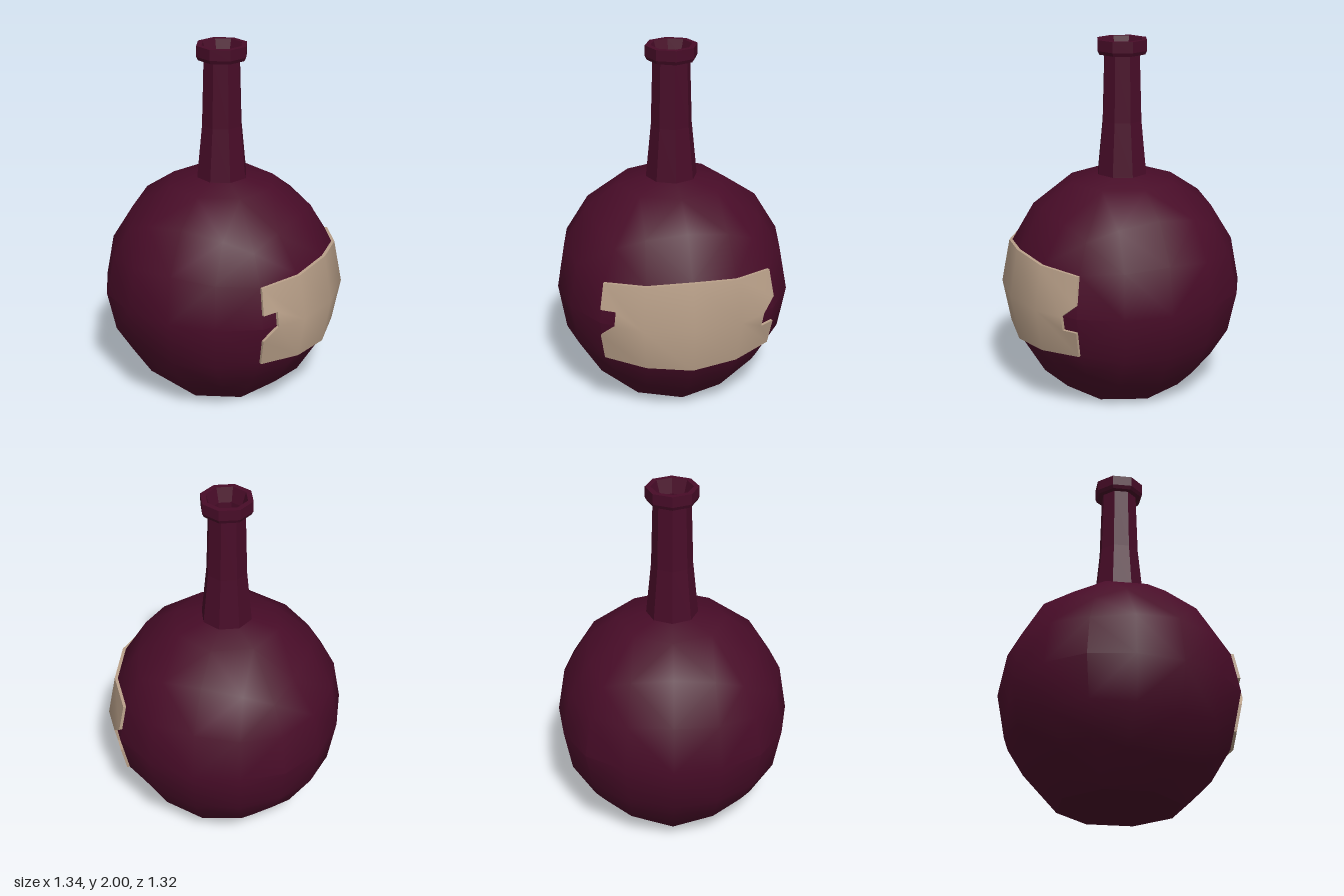
import * as THREE from 'three';
import { toCreasedNormals } from 'three/addons/utils/BufferGeometryUtils.js';

const CENTRE_Y = 0.61;

// One side of a rounded cube: (height, larger offset, smaller offset) by grid step
const STEPS = [
  [[0.66, 0, 0]],
  [[0.616, 0.264, 0], [0.575, 0.245, 0.245]],
  [[0.484, 0.484, 0], [0.45, 0.45, 0.227], [0.383, 0.383, 0.383]],
];
function gridPoint(i, j) {
  const I = Math.abs(i), J = Math.abs(j);
  const [n, p, q] = STEPS[Math.max(I, J)][Math.min(I, J)];
  return [n, Math.sign(i) * (I >= J ? p : q), Math.sign(j) * (I >= J ? q : p)];
}

function creased(triangles, angle) {
  const geometry = new THREE.BufferGeometry();
  geometry.setAttribute('position', new THREE.Float32BufferAttribute(triangles.flat(), 3));
  return toCreasedNormals(geometry, angle);
}

// Round body: six 4 x 4 patches, with an octagonal shoulder and a flat octagonal base
function bodyGeometry() {
  const triangles = [];
  const vertex = (d, s, i, j) => {
    const [n, a, b] = gridPoint(i, j);
    const v = [0, 0, 0];
    v[d] = s * n;
    v[(d + 1) % 3] = a;
    v[(d + 2) % 3] = b;
    v[1] += CENTRE_Y;
    if (d === 1 && Math.max(Math.abs(i), Math.abs(j)) <= 1) {
      const r = Math.hypot(v[0], v[2]) || 1;
      const ring = s > 0 ? 0.305 : 0.345;
      v[0] *= ring / r;
      v[2] *= ring / r;
      v[1] = s < 0 ? 0 : i || j ? 1.215 : 1.28;
    }
    return v;
  };
  for (let d = 0; d < 3; d++) for (const s of [1, -1])
    for (let i = -2; i < 2; i++) for (let j = -2; j < 2; j++) {
      let q = [[i, j], [i + 1, j], [i + 1, j + 1], [i, j + 1]].map(([a, b]) => vertex(d, s, a, b));
      // Diagonals run away from the middle of each patch
      if ((i < 0) !== (j < 0)) q = [q[1], q[2], q[3], q[0]];
      const order = s > 0 ? [0, 1, 2, 0, 2, 3] : [0, 2, 1, 0, 3, 2];
      triangles.push(...order.map((k) => q[k]));
    }
  return creased(triangles, 0.62);
}

// Label: follows the body patch on +x; points are (height step, sideways step)
function labelGeometry() {
  const cells = [
    [[0, 0], [1, 0], [1, 1], [0, 1]],
    [[-1, 0], [0, 0], [0, 1], [-1, 1]],
    [[0, 1], [1, 1], [1, 2], [0.35, 2], [0.35, 1.65], [0, 1.65]],
    [[-1, 1], [0, 1], [0, 1.65], [-0.32, 2], [-1, 2]],
  ];
  const outline = [[1, 0], [1, 1], [1, 2], [0.35, 2], [0.35, 1.65], [0, 1.65],
    [-0.32, 2], [-1, 2], [-1, 1], [-1, 0]];
  const surface = ([v, u], scale, turn) => {
    const u0 = Math.min(Math.floor(u), 1), v0 = v < 0 ? -1 : 0;
    const fu = u - u0, fv = v - v0;
    const p = [0, 1, 2].map((k) =>
      (1 - fu) * ((1 - fv) * gridPoint(v0, u0)[k] + fv * gridPoint(v0 + 1, u0)[k]) +
      fu * ((1 - fv) * gridPoint(v0, u0 + 1)[k] + fv * gridPoint(v0 + 1, u0 + 1)[k]));
    return [p[0] * scale, CENTRE_Y + turn * p[1], turn * p[2] * (1 + (scale - 1) * 0.6)];
  };
  const triangles = [];
  // The second half is the first turned half way round the x axis
  for (const turn of [1, -1]) {
    const outer = (p) => surface(p, 1.03, turn);
    const inner = (p) => surface(p, 0.985, turn);
    for (const cell of cells) {
      const faces = THREE.ShapeUtils.triangulateShape(cell.map((p) => new THREE.Vector2(...p)), []);
      for (const face of faces) triangles.push(...face.map((k) => outer(cell[k])));
    }
    for (let k = 0; k + 1 < outline.length; k++) {
      const a = outline[k], b = outline[k + 1];
      triangles.push(inner(a), inner(b), outer(b), inner(a), outer(b), outer(a));
    }
  }
  return creased(triangles, 0.62);
}

export function createModel() {
  const bottle = new THREE.Group();
  bottle.name = 'bottle';
  bottle.position.x = -0.01;
  const add = (name, geometry, color, flatShading = false) => {
    const mesh = new THREE.Mesh(geometry, new THREE.MeshStandardMaterial({ color, flatShading }));
    mesh.name = name;
    bottle.add(mesh);
  };
  const glass = 0x480c28;

  add('body', bodyGeometry(), glass);

  // Eight-sided neck with a collar and a hollow mouth
  const profile = [[0.147, 1.235], [0.145, 1.25], [0.115, 1.55], [0.104, 1.92], [0.135, 1.92],
    [0.145, 1.94], [0.145, 2], [0.115, 2], [0.09, 1.92], [0.085, 1.55], [0, 1.55]];
  add('neck', new THREE.LatheGeometry(profile.map((p) => new THREE.Vector2(...p)), 8), glass, true);

  add('label', labelGeometry(), 0xb9a089);

  const model = new THREE.Group();
  model.add(bottle);
  return model;
}
